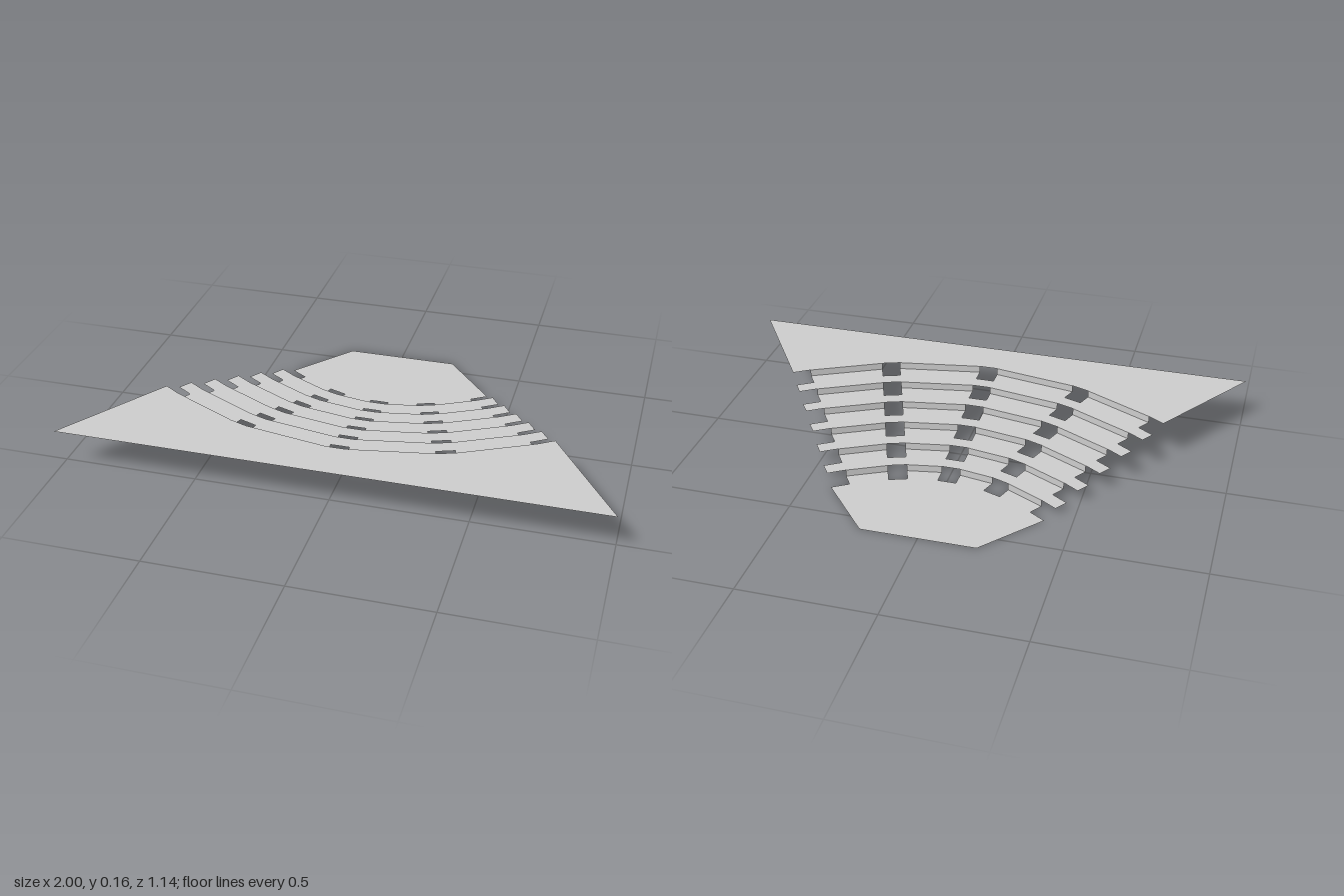
import * as THREE from 'three';

const ROWS = 6, STEP = 0.16 / ROWS, PITCH = 0.11;   // riser count, riser height, row depth
const HALF = 0.035, DEPTH = 0.055;                  // aisle half width, depth of aisle openings
const CENTRE_Z = -0.719, R0 = 0.577;                // centre and radius of the first row
const MID = THREE.MathUtils.degToRad(20), OUTER = THREE.MathUtils.degToRad(33);

const mat = new THREE.MeshStandardMaterial({ color: 0xcccccc, side: THREE.DoubleSide, flatShading: true });

// Plan points [x, z] of the three aisles crossing row i, from the middle to the +x edge
function aisles(i) {
  const r = R0 + PITCH * i;
  const make = (x, z, angle) => {
    const t = [Math.cos(angle), -Math.sin(angle)], d = [Math.sin(angle), Math.cos(angle)];
    const at = (s, back) => [x + t[0] * s - d[0] * back, z + t[1] * s - d[1] * back];
    return { a: at(-HALF, 0), b: at(HALF, 0), aIn: at(-HALF, DEPTH), bIn: at(HALF, DEPTH) };
  };
  return [
    make(0, CENTRE_Z + r, 0),
    make(r * Math.sin(MID), CENTRE_Z + r * Math.cos(MID), MID),
    make(0.40 + 0.061 * i, -0.28 + 0.092 * i, OUTER),
  ];
}

// Straight leading edge of the level above row i, middle outwards
function plainEdge(i) {
  const [c, m, o] = aisles(i);
  return [c.b, m.a, m.b, o.a, o.b];
}

// Trailing edge of the level below row i, notched at every aisle
function notchedEdge(i) {
  const [c, m, o] = aisles(i);
  return [c.bIn, c.b, m.a, m.aIn, m.bIn, m.b, o.a, o.aIn, o.bIn];
}

const mirror = (pts) => pts.map(([x, z]) => [-x, z]);

// Flat level bounded by two edges, mirrored about x = 0
function level(name, back, front, y) {
  const pts = [
    ...mirror(back).reverse(), ...back,
    ...[...front].reverse(), ...mirror(front),
  ];
  const shape = new THREE.Shape(pts.map(([x, z]) => new THREE.Vector2(x, -z)));
  const mesh = new THREE.Mesh(new THREE.ShapeGeometry(shape).rotateX(-Math.PI / 2), mat);
  mesh.position.y = y;
  mesh.name = name;
  return mesh;
}

// Upright strip between two plan points
function riser(p, q, y) {
  const geo = new THREE.PlaneGeometry(Math.hypot(q[0] - p[0], q[1] - p[1]), STEP);
  const mesh = new THREE.Mesh(geo, mat);
  mesh.position.set((p[0] + q[0]) / 2, y + STEP / 2, (p[1] + q[1]) / 2);
  mesh.rotation.y = -Math.atan2(q[1] - p[1], q[0] - p[0]);
  mesh.name = 'riser';
  return mesh;
}

export function createModel() {
  const model = new THREE.Group();
  model.name = 'steppedSeatingFloor';

  // Low floor, treads and rear floor
  model.add(level('stageFloor', [[0.212, -0.568]], notchedEdge(0), 0));
  for (let i = 0; i < ROWS - 1; i++) {
    model.add(level('tread', plainEdge(i), notchedEdge(i + 1), (i + 1) * STEP));
  }
  model.add(level('rearFloor', plainEdge(ROWS - 1), [[1, 0.568]], ROWS * STEP));

  // Risers between the aisles
  const risers = new THREE.Group();
  risers.name = 'risers';
  for (let i = 0; i < ROWS; i++) {
    const [c, m, o] = aisles(i);
    for (const seg of [[c.b, m.a], [m.b, o.a]]) {
      const [p, q] = seg, [mp, mq] = mirror(seg);
      risers.add(riser(q, p, i * STEP), riser(mp, mq, i * STEP));
    }
  }
  model.add(risers);
  return model;
}
